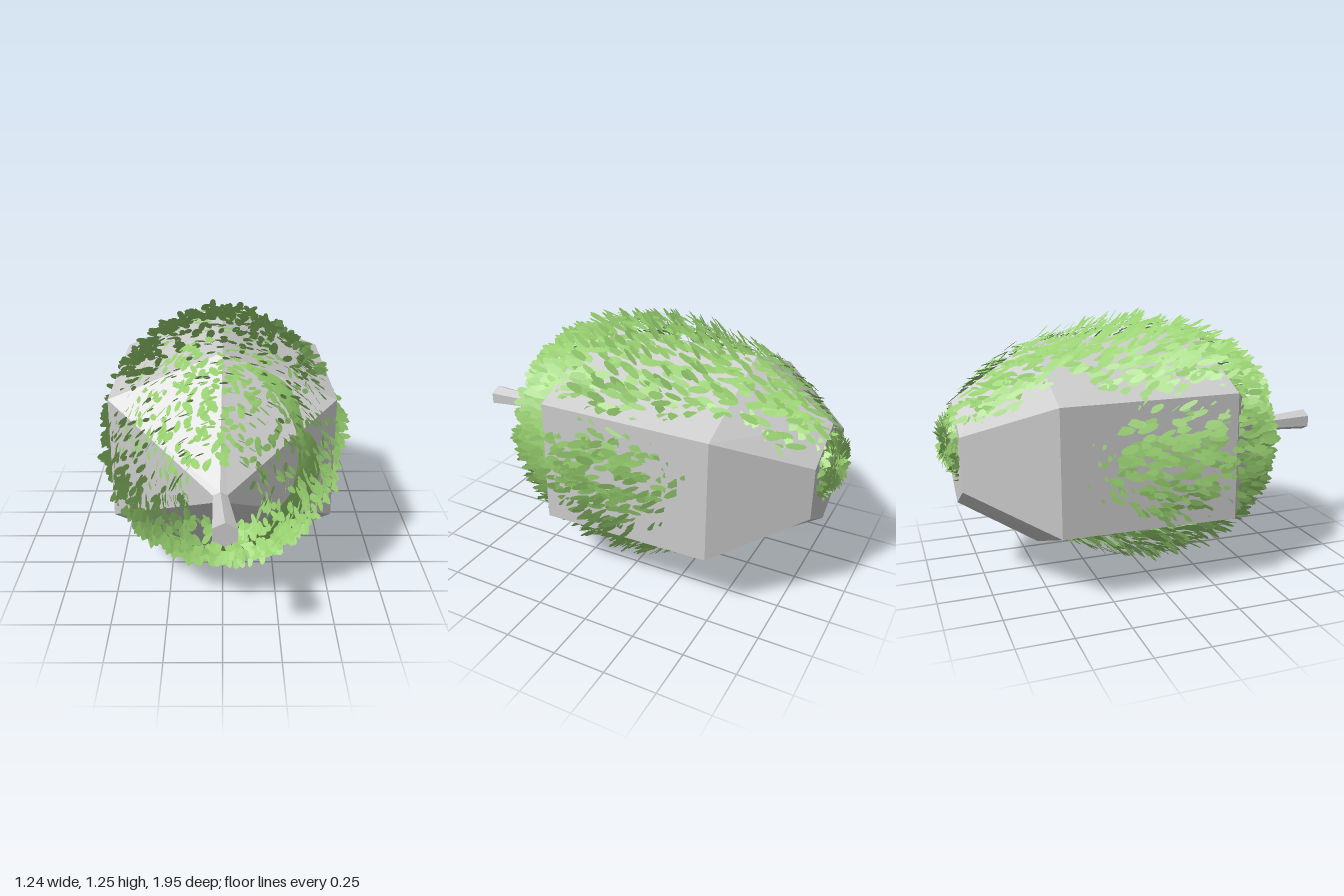
import * as THREE from 'three';
import { mergeGeometries } from 'three/addons/utils/BufferGeometryUtils.js';

const CY = 0.615;
const GREEN = 0x98d070;
const { smoothstep, degToRad } = THREE.MathUtils;

// small seeded generator
function seeded(seed) {
  return () => {
    seed = (seed * 1664525 + 1013904223) % 4294967296;
    return seed / 4294967296;
  };
}

// six-sided loft along z; each ring is [z, centre x, side x, side y, top y]
function hexLoft(rings) {
  const corners = rings.map(([z, cx, sx, sy, ty]) =>
    [[0, ty], [-sx, sy], [-sx, -sy], [0, -ty], [sx, -sy], [sx, sy]]
      .map(([x, y]) => [cx + x, CY + y, z]));
  const pos = [];
  const tri = (a, b, c) => pos.push(...a, ...b, ...c);
  for (let i = 0; i < rings.length - 1; i++) {
    for (let k = 0; k < 6; k++) {
      const n = (k + 1) % 6, f = corners[i], b = corners[i + 1];
      tri(f[k], b[k], b[n]);
      tri(f[k], b[n], f[n]);
    }
  }
  const first = corners[0], last = corners[rings.length - 1];
  for (let k = 1; k < 5; k++) {
    tri(first[0], first[k], first[k + 1]);
    tri(last[0], last[k + 1], last[k]);
  }
  const geo = new THREE.BufferGeometry();
  geo.setAttribute('position', new THREE.Float32BufferAttribute(pos, 3));
  geo.computeVertexNormals();
  return geo;
}

// egg outline carrying the scales: [z, radius], from front to back
const EGG = [[0.69, 0.1], [0.65, 0.22], [0.6, 0.33], [0.5, 0.425], [0.35, 0.5], [0.1, 0.54],
  [-0.1, 0.53], [-0.3, 0.475], [-0.5, 0.425], [-0.7, 0.3], [-0.85, 0.14], [-0.92, 0.01]];
function eggRadius(z) {
  for (let i = 0; i < EGG.length - 1; i++) {
    const [z0, r0] = EGG[i], [z1, r1] = EGG[i + 1];
    if (z <= z0 && z >= z1) return r0 + (r1 - r0) * (z0 - z) / (z0 - z1);
  }
  return 0;
}

// one oval scale at angle a, radius r and depth z, its tip pointing forwards and lifted by tilt
const oval = new THREE.CircleGeometry(1, 8);
function scale(a, r, z, tilt, sway, len, wid) {
  const out = new THREE.Vector3(Math.cos(a), Math.sin(a), 0);
  const around = new THREE.Vector3(-out.y, out.x, 0);
  const along = out.clone().multiplyScalar(Math.sin(tilt))
    .add(new THREE.Vector3(0, 0, Math.cos(tilt)))
    .addScaledVector(around, sway).normalize();
  const normal = new THREE.Vector3().crossVectors(around, along).normalize();
  const width = new THREE.Vector3().crossVectors(along, normal);
  const m = new THREE.Matrix4().makeBasis(
    width.multiplyScalar(wid), along.clone().multiplyScalar(len), normal);
  // the narrow back end of the egg sits a little higher
  const lift = 0.06 * Math.max(0, -z);
  const push = len * Math.sin(tilt);
  m.setPosition(out.x * (r + push), CY + lift + out.y * (r * 1.02 + push), z);
  return oval.clone().applyMatrix4(m);
}

// scales over the whole egg, thickest towards the front
function scales() {
  const rnd = seeded(7), count = 4000, parts = [];
  for (let i = 0; i < count; i++) {
    const z = 0.67 - 1.53 * Math.pow((i + rnd()) / count, 1.15);
    const a = i * 2.399963 + (rnd() - 0.5) * 0.8;
    const r = eggRadius(z) + (rnd() - 0.5) * 0.05;
    const tilt = 0.1 + 0.45 * smoothstep(-z, -0.5, 0) * (1 - 0.6 * smoothstep(-z, 0.2, 0.5))
      + (rnd() - 0.5) * 0.8;
    parts.push(scale(a, r, z, tilt, (rnd() - 0.5) * 0.9, 0.032 + rnd() * 0.018, 0.012 + rnd() * 0.008));
  }
  return mergeGeometries(parts);
}

// starburst of scales at the back end
function tailTuft() {
  const rnd = seeded(31), parts = [];
  for (let i = 0; i < 280; i++) {
    const t = Math.sqrt(rnd());
    parts.push(scale(i * 2.399963, 0.1 * t, -0.92 + 0.06 * t * t, 2.3 - 1.1 * t + (rnd() - 0.5) * 0.7,
      (rnd() - 0.5) * 0.5, 0.025 + rnd() * 0.018, 0.009 + rnd() * 0.006));
  }
  return mergeGeometries(parts);
}

// smooth crescent of husk under the scales on the lower front
function husk() {
  const U = 40, V = 10, pos = [], index = [];
  for (let i = 0; i <= U; i++) {
    const u = i / U, a = degToRad(-165 + 250 * u);
    const spread = Math.sin(Math.PI * u);
    for (let j = 0; j <= V; j++) {
      const z = 0.34 + 0.28 * spread * j / V;
      const r = eggRadius(z) - 0.035;
      pos.push(Math.cos(a) * r, CY + Math.sin(a) * r * 1.02, z);
      if (i < U && j < V) {
        const p = i * (V + 1) + j, q = p + V + 1;
        index.push(p, q, p + 1, q, q + 1, p + 1);
      }
    }
  }
  const geo = new THREE.BufferGeometry();
  geo.setAttribute('position', new THREE.Float32BufferAttribute(pos, 3));
  geo.setIndex(index);
  geo.computeVertexNormals();
  return geo;
}

export function createModel() {
  const group = new THREE.Group();
  const grey = new THREE.MeshStandardMaterial({ color: 0xcccccc, flatShading: true });
  const green = new THREE.MeshStandardMaterial({ color: GREEN, side: THREE.DoubleSide });
  const add = (name, geo, mat) => {
    const mesh = new THREE.Mesh(geo, mat);
    mesh.name = name;
    group.add(mesh);
  };

  // faceted core, front cone to blunt back
  add('core', hexLoft([
    [0.72, -0.01, 0.03, 0.017, 0.033],
    [0.335, 0, 0.515, 0.295, 0.515],
    [-0.48, 0, 0.505, 0.29, 0.495],
    [-0.855, 0, 0.22, 0.125, 0.245],
  ]), grey);

  // stalk, flaring towards its cut end
  add('stalk', hexLoft([
    [1, 0.01, 0.05, 0.028, 0.053],
    [0.7, -0.01, 0.03, 0.017, 0.033],
  ]), grey);

  add('husk', husk(), green);
  add('scales', scales(), green);
  add('tailTuft', tailTuft(), green);
  return group;
}
